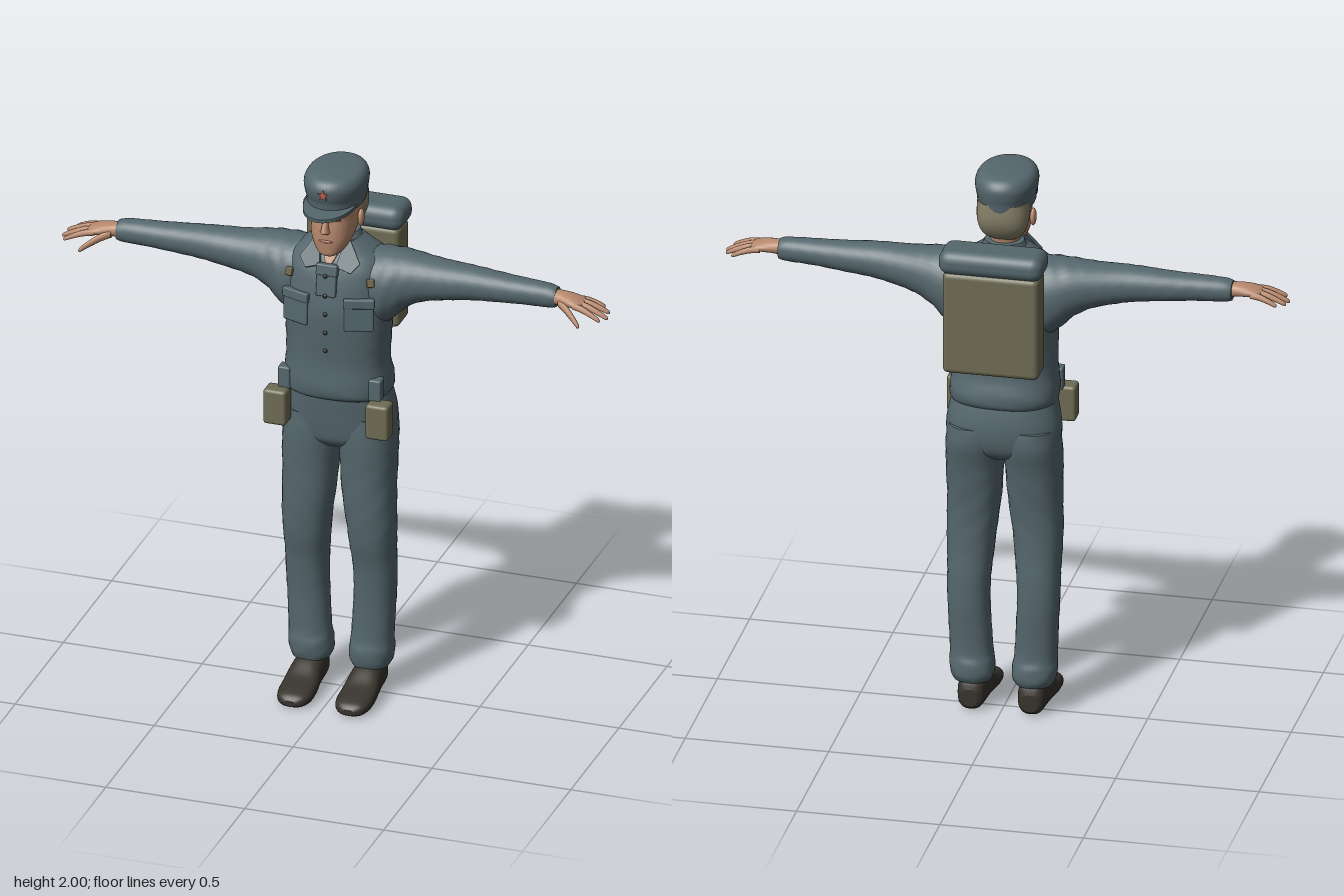
import * as THREE from 'three';
import { RoundedBoxGeometry } from 'three/addons/geometries/RoundedBoxGeometry.js';

const mat = (name, color) => Object.assign(new THREE.MeshStandardMaterial({ color }), { name });

// Loft through rings [t, lo1, hi1, lo2, hi2]; t runs along the axis and the two
// ranges follow in cyclic order (x: y,z   y: z,x   z: x,y). Rings are smoothed.
function loft(axis, rings, { seg = 32, sub = 4, power = 2.2, fold = 0 } = {}) {
  const a = { x: 0, y: 1, z: 2 }[axis], b = (a + 1) % 3, c = (a + 2) % 3;
  const at = i => rings[Math.min(Math.max(i, 0), rings.length - 1)];
  const smooth = (k, i, f) => {
    const [p, q, r, s] = [at(i - 1)[k], at(i)[k], at(i + 1)[k], at(i + 2)[k]];
    return q + 0.5 * f * (r - p + f * (2 * p - 5 * q + 4 * r - s + f * (3 * (q - r) + s - p)));
  };
  const pos = [], index = [], rows = (rings.length - 1) * sub;
  const curve = v => Math.sign(v) * Math.abs(v) ** (2 / power);
  const put = (t, u, v) => {
    const p = [0, 0, 0];
    p[a] = t; p[b] = u; p[c] = v;
    pos.push(...p);
  };
  const ring = row => {
    const i = Math.min(Math.floor(row / sub), rings.length - 2), f = row / sub - i;
    const [t, l1, h1, l2, h2] = [0, 1, 2, 3, 4].map(k => smooth(k, i, f));
    for (let j = 0; j < seg; j++) {
      const th = j / seg * Math.PI * 2;
      const w = 1 + fold * Math.sin(2 * th + t * 41) * Math.sin(t * 67 + 3 * th);
      put(t, (l1 + h1) / 2 + (h1 - l1) / 2 * w * curve(Math.cos(th)),
        (l2 + h2) / 2 + (h2 - l2) / 2 * w * curve(Math.sin(th)));
    }
  };
  for (let r = 0; r <= rows; r++) ring(r);
  for (let r = 0; r < rows; r++) for (let j = 0; j < seg; j++) {
    const k = (j + 1) % seg, p = r * seg, q = p + seg;
    index.push(p + j, p + k, q + k, p + j, q + k, q + j);
  }
  // End caps
  for (const [row, end] of [[0, false], [rows, true]]) {
    const base = pos.length / 3, e = at(end ? rings.length : 0);
    ring(row);
    put(e[0], (e[1] + e[2]) / 2, (e[3] + e[4]) / 2);
    for (let j = 0; j < seg; j++) {
      const k = (j + 1) % seg;
      index.push(base + seg, base + (end ? j : k), base + (end ? k : j));
    }
  }
  const g = new THREE.BufferGeometry();
  g.setAttribute('position', new THREE.Float32BufferAttribute(pos, 3));
  g.setIndex(index);
  g.computeVertexNormals();
  return g;
}

function mirror(geo) {
  const g = geo.index ? geo.toNonIndexed() : geo.clone();
  for (const attr of Object.values(g.attributes)) {
    for (let i = 0; i < attr.count; i += 3) for (let k = 0; k < attr.itemSize; k++) {
      const v = attr.getComponent(i + 1, k);
      attr.setComponent(i + 1, k, attr.getComponent(i + 2, k));
      attr.setComponent(i + 2, k, v);
    }
  }
  for (const n of ['position', 'normal']) {
    const attr = g.attributes[n];
    for (let i = 0; i < attr.count; i++) attr.setX(i, -attr.getX(i));
  }
  return g;
}

const box = (w, h, d, x, y, z, r = 0.006, rx = 0, ry = 0) =>
  new RoundedBoxGeometry(w, h, d, 3, r).rotateX(rx).rotateY(ry).translate(x, y, z);
const blob = (w, h, d, x, y, z) =>
  new THREE.SphereGeometry(1, 16, 12).scale(w, h, d).translate(x, y, z);
const plate = (pts, depth) => new THREE.ExtrudeGeometry(
  new THREE.Shape(pts.map(p => new THREE.Vector2(...p))), { depth, bevelEnabled: false });

// Tapered finger from knuckle to tip, arched slightly upward
function finger(from, to, r) {
  const rings = [[0, 1, 0], [0.35, 1, 0.006], [0.7, 0.85, 0.004], [0.94, 0.65, 0], [1, 0.25, 0]].map(([f, s, up]) => {
    const [x, y, z] = from.map((v, i) => v + (to[i] - v) * f);
    return [x, y + up - r * s, y + up + r * s, z - r * s, z + r * s];
  });
  return loft('x', rings, { seg: 10, sub: 3, power: 2 });
}

export function createModel() {
  const model = new THREE.Group();
  model.name = 'uniformedFigure';
  const cloth = mat('blueGreyCloth', 0x55676d), skin = mat('skin', 0xb98a6e);
  const canvas = mat('khakiCanvas', 0x6e6c53), leather = mat('darkLeather', 0x37332c);
  const hair = mat('hair', 0x858168), red = mat('redBadge', 0xb5604e);
  const dark = mat('darkBrown', 0x3d2f29), lip = mat('lips', 0x9c6457), brass = mat('dullBrass', 0x6b6046);

  const add = (name, geo, material) => {
    const m = new THREE.Mesh(geo, material);
    m.name = name;
    model.add(m);
  };
  const both = (name, geo, material) => {
    add(name + 'Left', geo, material);
    add(name + 'Right', mirror(geo), material);
  };

  // Jacket and trousers
  add('jacket', loft('y', [
    [1.145, -0.095, 0.13, -0.17, 0.17], [1.16, -0.118, 0.152, -0.184, 0.184],
    [1.2, -0.124, 0.158, -0.188, 0.188], [1.28, -0.106, 0.154, -0.178, 0.178],
    [1.4, -0.115, 0.16, -0.182, 0.182], [1.5, -0.128, 0.161, -0.186, 0.186],
    [1.6, -0.118, 0.146, -0.185, 0.185], [1.66, -0.1, 0.124, -0.165, 0.165],
    [1.695, -0.08, 0.104, -0.12, 0.12], [1.725, -0.06, 0.08, -0.075, 0.075],
  ], { seg: 48, power: 2.5, fold: 0.012 }), cloth);
  add('trouserSeat', loft('y', [
    [0.945, -0.06, 0.08, -0.09, 0.09], [0.975, -0.1, 0.108, -0.17, 0.17], [1.02, -0.118, 0.118, -0.196, 0.196],
    [1.08, -0.122, 0.125, -0.197, 0.197], [1.15, -0.112, 0.132, -0.184, 0.184], [1.19, -0.1, 0.13, -0.175, 0.175],
  ], { seg: 40, power: 2.4 }), cloth);
  both('trouserLeg', loft('y', [
    [0.105, -0.072, 0.058, 0.042, 0.172], [0.13, -0.083, 0.066, 0.032, 0.182],
    [0.17, -0.082, 0.068, 0.032, 0.186], [0.21, -0.073, 0.06, 0.038, 0.185],
    [0.3, -0.075, 0.06, 0.045, 0.19], [0.4, -0.08, 0.065, 0.048, 0.193],
    [0.5, -0.08, 0.074, 0.046, 0.196], [0.6, -0.072, 0.096, 0.036, 0.199],
    [0.75, -0.076, 0.106, 0.018, 0.2], [0.9, -0.096, 0.112, 0.005, 0.2],
    [1.0, -0.122, 0.114, 0.001, 0.199], [1.07, -0.118, 0.112, 0.004, 0.19],
  ], { power: 2.3, fold: 0.022 }), cloth);

  // Sleeves, each widening into the armpit
  both('sleeve', loft('x', [
    [0.1, 1.46, 1.69, -0.1, 0.115], [0.16, 1.42, 1.692, -0.112, 0.12], [0.2, 1.44, 1.69, -0.106, 0.112],
    [0.25, 1.488, 1.687, -0.09, 0.1], [0.32, 1.525, 1.682, -0.07, 0.092], [0.42, 1.547, 1.678, -0.05, 0.086],
    [0.52, 1.56, 1.672, -0.037, 0.08], [0.65, 1.572, 1.665, -0.022, 0.074], [0.76, 1.576, 1.659, -0.01, 0.071],
    [0.79, 1.583, 1.652, -0.003, 0.067],
  ], { power: 2.1, fold: 0.028 }), cloth);

  // Hands
  both('palm', loft('x', [
    [0.77, 1.592, 1.645, 0.008, 0.062], [0.81, 1.598, 1.644, 0.005, 0.072],
    [0.85, 1.6, 1.638, 0.002, 0.085], [0.88, 1.602, 1.628, 0.004, 0.084], [0.89, 1.608, 1.622, 0.015, 0.075],
  ], { seg: 20 }), skin);
  const fingers = [
    [[0.86, 1.615, 0.077], [0.965, 1.585, 0.1]], [[0.865, 1.617, 0.055], [0.982, 1.58, 0.063]],
    [[0.865, 1.616, 0.033], [0.976, 1.585, 0.026]], [[0.855, 1.613, 0.012], [0.95, 1.59, -0.005]],
  ];
  fingers.forEach(([from, to], i) => both('finger' + (i + 1), finger(from, to, 0.0115), skin));
  both('thumb', finger([0.805, 1.612, 0.06], [0.9, 1.566, 0.13], 0.015), skin);

  // Shoes
  both('shoe', loft('z', [
    [-0.072, 0.08, 0.13, 0.015, 0.08], [-0.055, 0.06, 0.15, 0.003, 0.115], [0, 0.054, 0.156, 0, 0.125],
    [0.06, 0.05, 0.162, 0, 0.108], [0.12, 0.043, 0.168, 0, 0.075], [0.18, 0.043, 0.166, 0, 0.058],
    [0.215, 0.058, 0.152, 0.002, 0.046], [0.232, 0.085, 0.125, 0.01, 0.03],
  ], { seg: 28, power: 2.6 }), leather);

  // Head, neck and face
  add('neck', loft('y', [
    [1.64, -0.05, 0.09, -0.06, 0.06], [1.7, -0.035, 0.092, -0.054, 0.054],
    [1.75, -0.035, 0.088, -0.054, 0.054], [1.8, -0.05, 0.09, -0.06, 0.06],
  ]), skin);
  add('head', loft('y', [
    [1.695, 0.1, 0.142, -0.02, 0.02], [1.705, 0.075, 0.155, -0.038, 0.038], [1.73, 0.03, 0.16, -0.058, 0.058],
    [1.76, -0.01, 0.164, -0.071, 0.071], [1.8, -0.055, 0.164, -0.079, 0.079],
    [1.835, -0.075, 0.161, -0.083, 0.083], [1.86, -0.08, 0.164, -0.085, 0.085], [1.9, -0.075, 0.16, -0.083, 0.083],
  ], { power: 2.3 }), skin);
  add('hairBack', loft('y', [
    [1.755, -0.03, 0.01, -0.04, 0.04], [1.775, -0.055, 0.02, -0.068, 0.068], [1.81, -0.077, 0.04, -0.085, 0.085],
    [1.85, -0.087, 0.065, -0.091, 0.091], [1.9, -0.085, 0.08, -0.09, 0.09],
  ], { power: 2.4 }), hair);
  add('nose', loft('y', [
    [1.788, 0.15, 0.168, -0.012, 0.012], [1.798, 0.145, 0.187, -0.017, 0.017],
    [1.81, 0.145, 0.186, -0.013, 0.013], [1.85, 0.145, 0.168, -0.008, 0.008],
  ], { seg: 16, power: 2 }), skin);
  add('mouth', blob(0.025, 0.006, 0.007, 0, 1.76, 0.161), lip);
  both('ear', blob(0.011, 0.032, 0.019, 0.09, 1.815, 0.05), skin);
  both('eye', blob(0.016, 0.004, 0.005, 0.036, 1.842, 0.152), dark);
  both('eyebrow', blob(0.02, 0.0035, 0.005, 0.037, 1.861, 0.154), dark);

  // Cap with peak and star
  add('cap', loft('y', [
    [1.868, -0.082, 0.168, -0.093, 0.093], [1.88, -0.087, 0.172, -0.098, 0.098], [1.905, -0.09, 0.175, -0.1, 0.1],
    [1.93, -0.096, 0.184, -0.105, 0.105], [1.96, -0.097, 0.187, -0.106, 0.106],
    [1.985, -0.08, 0.17, -0.093, 0.093], [1.996, -0.05, 0.135, -0.065, 0.065], [2.0, 0.02, 0.07, -0.02, 0.02],
  ], { seg: 40, power: 2.1 }), cloth);
  add('capPeak', new THREE.CylinderGeometry(1, 1, 0.012, 40).scale(0.09, 1, 0.145)
    .rotateX(0.04).translate(0, 1.881, 0.1), cloth);
  const star = Array.from({ length: 10 }, (_, i) => {
    const r = i % 2 ? 0.009 : 0.02, t = Math.PI / 2 + i * Math.PI / 5;
    return [r * Math.cos(t), r * Math.sin(t)];
  });
  add('capStar', plate(star, 0.009).translate(0, 1.945, 0.182), red);

  // Collar, open neck and chest details
  add('collarBand', loft('y', [
    [1.675, -0.075, 0.1, -0.1, 0.1], [1.71, -0.066, 0.085, -0.083, 0.083], [1.745, -0.055, 0.062, -0.068, 0.068],
  ], { power: 2.1 }), cloth);
  add('openNeck', plate([[0, -0.06], [0.045, 0.045], [-0.045, 0.045]], 0.008)
    .rotateX(-0.5).translate(0, 1.69, 0.108), skin);
  both('collarFlap', plate([[0.022, -0.045], [0.075, -0.065], [0.105, -0.03], [0.065, 0.055], [0.05, 0.05]], 0.012)
    .rotateX(-0.55).rotateY(0.2).translate(0, 1.69, 0.113), cloth);
  add('chestTab', box(0.07, 0.115, 0.024, 0, 1.607, 0.147, 0.005, -0.16), cloth);
  add('chestTabFlap', box(0.076, 0.04, 0.028, 0, 1.645, 0.143, 0.005, -0.16), cloth);
  both('chestPocket', box(0.1, 0.11, 0.022, 0.112, 1.485, 0.139, 0.005, -0.03, 0.32), cloth);
  both('pocketFlap', box(0.106, 0.034, 0.03, 0.112, 1.532, 0.138, 0.005, -0.05, 0.32), cloth);
  both('chestBadge', box(0.026, 0.03, 0.02, 0.145, 1.603, 0.114, 0.004, -0.3, 0.4), brass);
  [1.347, 1.415, 1.485, 1.555, 1.63].forEach((y, i) =>
    add('button' + (i + 1), blob(0.008, 0.008, 0.006, 0, y, 0.167), leather));

  // Belt pouches with hanging straps
  both('beltPouch', box(0.082, 0.13, 0.068, 0.184, 1.1, 0.134, 0.012), canvas);
  both('pouchStrap', box(0.044, 0.08, 0.045, 0.163, 1.2, 0.105, 0.006), cloth);

  // Pack with bedroll
  add('backpack', box(0.335, 0.375, 0.115, 0, 1.513, -0.17, 0.02), canvas);
  add('bedroll', box(0.364, 0.088, 0.145, 0, 1.737, -0.168, 0.038), cloth);
  return model;
}
